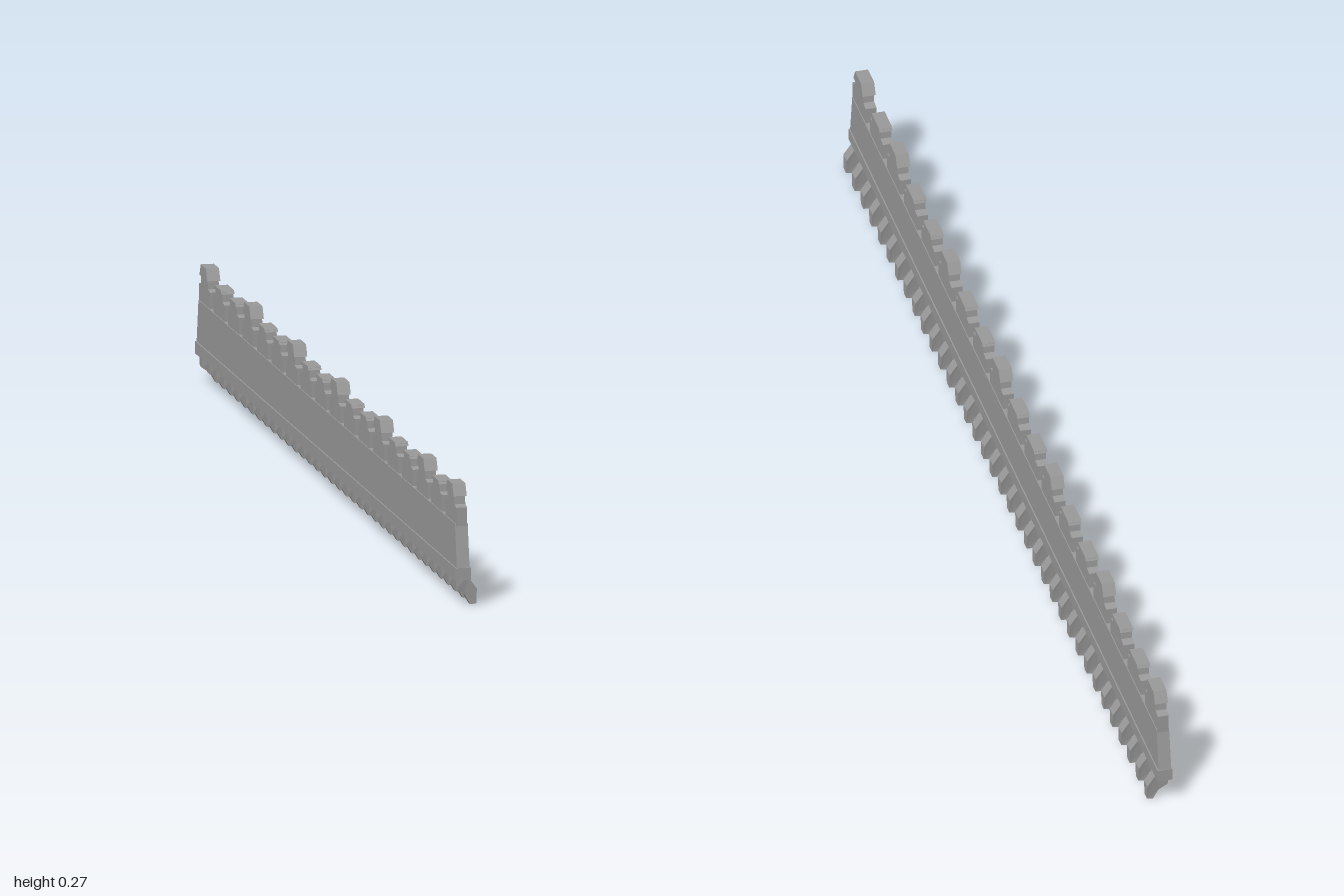
import * as THREE from 'three';

const stone = new THREE.MeshStandardMaterial({ color: 0x999999, flatShading: true });
stone.name = 'grey stone';

const SPAN = 1.33;      // half length of the wall
const MERLONS = 18;
const FEET = 36;

// Extrude an outline of [x, y] points from depth z0 to z1
function slab(points, z0, z1) {
  const shape = new THREE.Shape(points.map(([x, y]) => new THREE.Vector2(x, y)));
  const geo = new THREE.ExtrudeGeometry(shape, { depth: z1 - z0, bevelEnabled: false });
  return geo.translate(0, 0, z0);
}

// Block with a top smaller than its base, standing at height y
function taperedBlock(w, h, d, topScale, y, z) {
  const geo = new THREE.BoxGeometry(w, h, d);
  const pos = geo.attributes.position;
  for (let i = 0; i < pos.count; i++) {
    if (pos.getY(i) > 0) pos.setX(i, pos.getX(i) * topScale);
  }
  return geo.translate(0, y + h / 2, z);
}

function part(parent, name, geo, x = 0) {
  const mesh = new THREE.Mesh(geo, stone);
  mesh.name = name;
  mesh.position.x = x;
  parent.add(mesh);
}

export function createModel() {
  const model = new THREE.Group();
  model.name = 'battlementWall';

  // Wall with slightly leaning ends, and the moulding along its foot
  part(model, 'wallBody', slab([[-SPAN, 0.08], [SPAN, 0.08], [SPAN - 0.02, 0.185], [-SPAN + 0.02, 0.185]], -0.017, 0.012));
  part(model, 'footMoulding', slab([[-SPAN, 0.06], [SPAN, 0.06], [SPAN, 0.088], [-SPAN, 0.088]], -0.02, 0.015));

  // Stepped merlons, every third one with a raised cap
  const pitch = 0.148;
  const body = slab([[-0.056, 0.18], [0.056, 0.18], [0.056, 0.222], [0.036, 0.226],
    [0.034, 0.248], [-0.034, 0.248], [-0.036, 0.226], [-0.056, 0.222]], -0.015, 0.01);
  const lowCap = taperedBlock(0.074, 0.008, 0.03, 0.85, 0.243, -0.0025);
  const tallCap = taperedBlock(0.08, 0.026, 0.03, 0.65, 0.245, -0.0025);
  for (let i = 0; i < MERLONS; i++) {
    const x = (i - (MERLONS - 1) / 2) * pitch;
    part(model, 'merlon', body, x);
    part(model, 'merlonCap', i % 3 === 2 || i === 0 ? tallCap : lowCap, x);
  }

  // Feet below the wall, kicking outward to the front
  const outline = [[-0.016, 0.065], [0.012, 0.065], [0.033, 0.036], [0.033, 0.002],
    [0.019, 0], [0.006, 0.022], [-0.014, 0.036]];
  const foot = slab(outline, -0.014, 0.014).rotateY(-Math.PI / 2);
  const pos = foot.attributes.position;
  for (let i = 0; i < pos.count; i++) {
    if (pos.getY(i) < 0.03) pos.setX(i, pos.getX(i) * 0.75);
  }
  foot.computeVertexNormals();
  for (let i = 0; i < FEET; i++) {
    part(model, 'foot', foot, (i - (FEET - 1) / 2) * pitch / 2);
  }

  // The wall runs diagonally from front left to back right
  model.rotation.y = 0.8325;
  const group = new THREE.Group();
  group.name = 'diagonalWall';
  group.add(model);
  return group;
}
